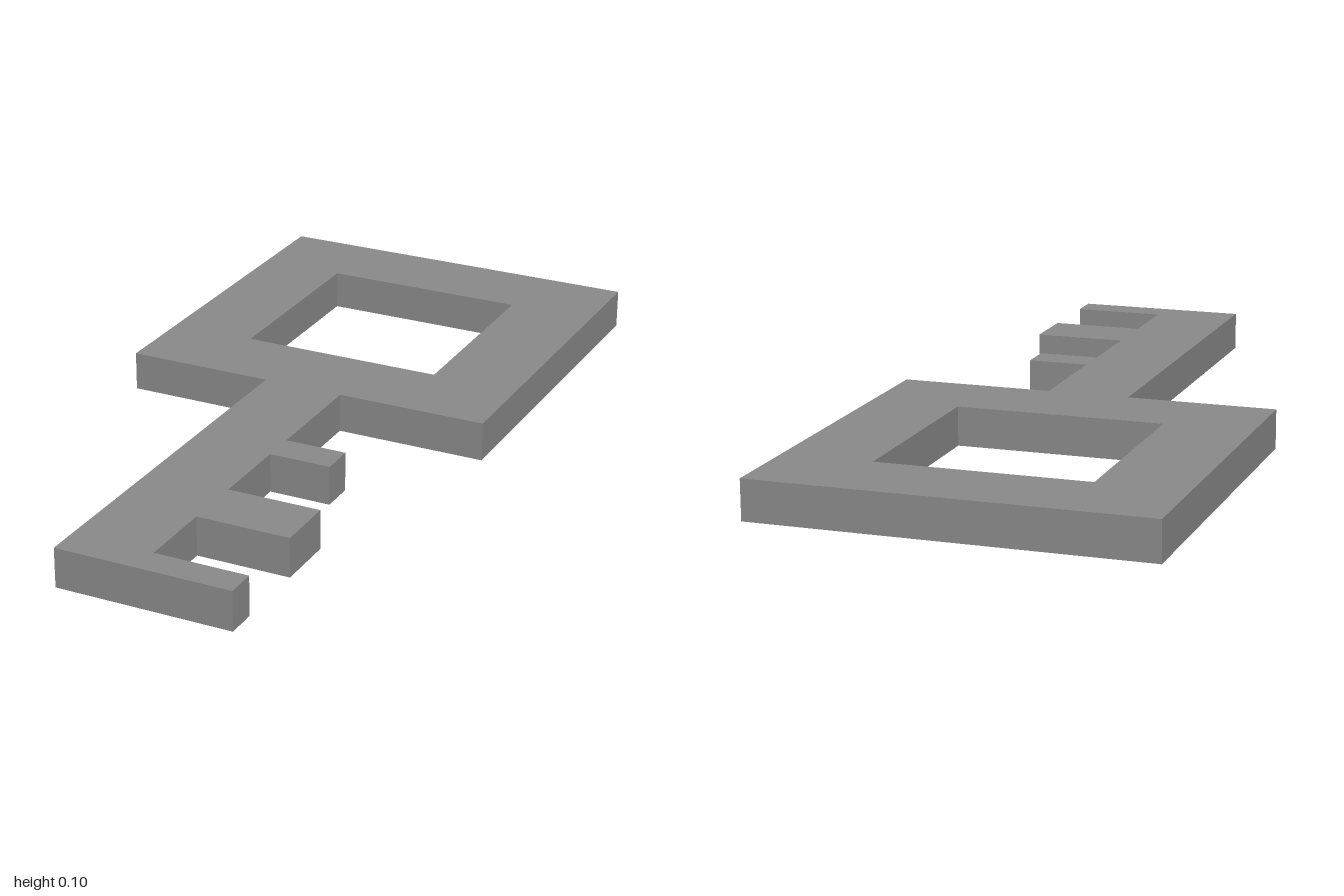
import * as THREE from 'three';

const THICKNESS = 0.1;

// Flat plate from an outline given as [x, z] points, lying on y = 0
function plate(name, outline, material, hole) {
  const toPoints = (list) => list.map(([x, z]) => new THREE.Vector2(x, z));
  const shape = new THREE.Shape(toPoints(outline));
  if (hole) shape.holes.push(new THREE.Path(toPoints(hole)));
  const geometry = new THREE.ExtrudeGeometry(shape, { depth: THICKNESS, bevelEnabled: false });
  geometry.rotateX(Math.PI / 2).translate(0, THICKNESS, 0);
  const mesh = new THREE.Mesh(geometry, material);
  mesh.name = name;
  return mesh;
}

const rectangle = (x0, x1, z0, z1) => [[x0, z0], [x1, z0], [x1, z1], [x0, z1]];

export function createModel() {
  const group = new THREE.Group();
  group.name = 'key';
  const metal = new THREE.MeshStandardMaterial({ color: 0x8a8a8a });
  metal.name = 'grey metal';

  // Square handle with a square opening
  group.add(plate('bow', rectangle(-0.49, 0.49, -1, -0.03), metal,
    rectangle(-0.267, 0.263, -0.78, -0.25)));

  // Shaft and its three teeth as one outline
  const left = -0.108, right = 0.102;
  const teeth = [ // start z, end z, tip x
    [0.27, 0.357, 0.26],
    [0.57, 0.725, 0.34],
    [0.922, 1, 0.34],
  ];
  const outline = [[left, -0.03], [right, -0.03]];
  teeth.forEach(([z0, z1, tip], i) => {
    outline.push([right, z0], [tip, z0], [tip, z1]);
    if (i < teeth.length - 1) outline.push([right, z1]);
  });
  outline.push([left, 1]);
  group.add(plate('bladeWithTeeth', outline, metal));

  return group;
}
